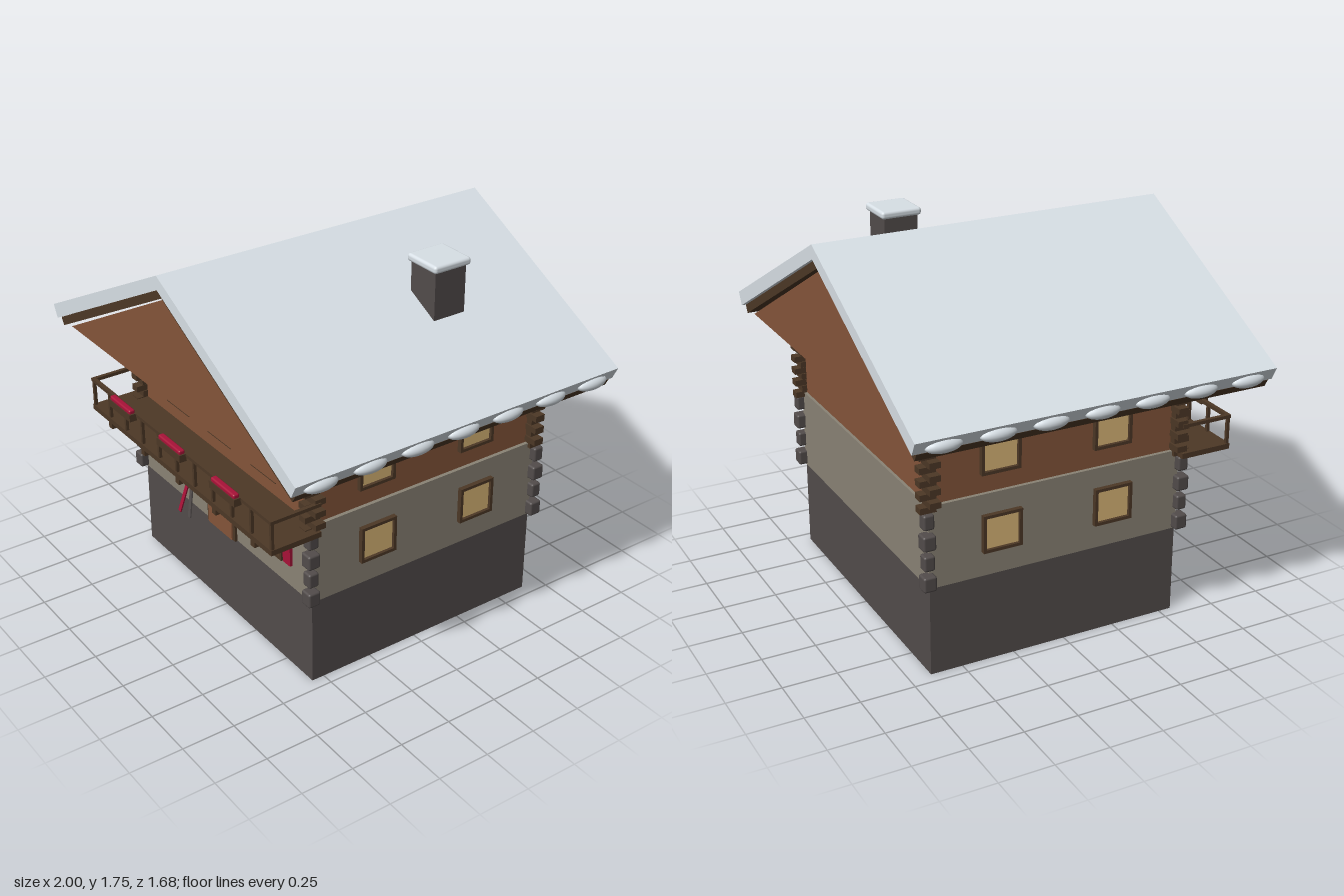
import * as THREE from 'three';
import { RoundedBoxGeometry } from 'three/addons/geometries/RoundedBoxGeometry.js';

const material = (name, color) => {
  const m = new THREE.MeshStandardMaterial({ color });
  m.name = name;
  return m;
};

export function createModel() {
  const model = new THREE.Group();
  model.name = 'chalet';
  const snow = material('snow', 0xd8e0e6);
  const wood = material('wood', 0x85553a);
  const darkWood = material('dark wood', 0x4d3826);
  const plaster = material('plaster', 0x8a8375);
  const stone = material('stone', 0x524c4b);
  const glass = material('lit glass', 0xdcb878);
  const red = material('red paint', 0xa81238);
  const brass = material('brass', 0xd9b06a);

  const add = (name, geometry, mat, x = 0, y = 0, z = 0, parent = model) => {
    const mesh = new THREE.Mesh(geometry, mat);
    mesh.name = name;
    mesh.position.set(x, y, z);
    parent.add(mesh);
    return mesh;
  };
  // Box given by its limits on each axis
  const box = (name, mat, [x0, x1], [y0, y1], [z0, z1], parent = model) =>
    add(name, new THREE.BoxGeometry(x1 - x0, y1 - y0, z1 - z0), mat,
      (x0 + x1) / 2, (y0 + y1) / 2, (z0 + z1) / 2, parent);
  // Outline in x and y, extruded between two z values
  const extrude = (name, mat, points, z0, z1) => {
    const shape = new THREE.Shape(points.map(([x, y]) => new THREE.Vector2(x, y)));
    const geometry = new THREE.ExtrudeGeometry(shape, { depth: z1 - z0, bevelEnabled: false });
    return add(name, geometry, mat, 0, 0, z0);
  };

  // Storeys
  box('foundation', stone, [-0.695, 0.695], [0, 0.415], [-0.65, 0.56]);
  box('groundFloor', plaster, [-0.697, 0.697], [0.415, 0.797], [-0.653, 0.563]);
  box('upperFloor', wood, [-0.68, 0.68], [0.79, 1.15], [-0.64, 0.55]);

  // Gable boards at both ends of the roof
  const gable = [[-0.9, 1.145], [0.9, 1.145], [0, 1.63]];
  extrude('frontGable', wood, gable, 0.78, 0.8);
  extrude('backGable', wood, gable, -0.8, -0.78);

  // Roof deck and the snow lying on it
  extrude('roofDeck', darkWood, [[-0.96, 1.175], [-0.94, 1.14], [0, 1.637], [0.94, 1.14],
    [0.96, 1.175], [0, 1.68]], -0.82, 0.82);
  extrude('roofSnow', snow, [[-0.99, 1.235], [-0.96, 1.176], [0, 1.68], [0.96, 1.176],
    [0.99, 1.235], [0, 1.745]], -0.84, 0.84);
  for (const side of [-1, 1]) {
    for (let i = -3; i <= 3; i++) {
      const clump = add('eaveSnow', new THREE.SphereGeometry(1, 20, 12), snow, side * 0.968, 1.196, i * 0.236);
      clump.scale.set(0.034, 0.031, 0.082);
    }
  }

  // Chimney
  box('chimney', stone, [0.378, 0.54], [1.35, 1.69], [-0.343, -0.18]);
  add('chimneySnow', new RoundedBoxGeometry(0.195, 0.036, 0.195, 2, 0.014), snow, 0.459, 1.704, -0.262);

  // Corner stones below, crossed log ends above
  for (const sx of [-1, 1]) {
    for (const [z, sz] of [[0.56, 1], [-0.65, -1]]) {
      for (let i = 0; i < 4; i++) {
        const size = i % 2 ? 0.05 : 0.06;
        add('cornerStone', new RoundedBoxGeometry(size, 0.07, size, 2, 0.01), stone,
          sx * 0.705, 0.455 + i * 0.095, z + sz * 0.012);
      }
      for (let i = 0; i < 6; i++) {
        const y = 1.12 - i * 0.06;
        add('logEndAcross', new THREE.BoxGeometry(0.08, 0.028, 0.05), darkWood, sx * 0.705, y, z - sz * 0.01);
        add('logEndAlong', new THREE.BoxGeometry(0.045, 0.028, 0.075), darkWood, sx * 0.69, y - 0.03, z + sz * 0.008);
      }
    }
  }

  // Window facing +z in its own frame
  const makeWindow = (x, y, z, { width = 0.19, turn = 0, shutters = false }) => {
    const group = new THREE.Group();
    group.name = 'window';
    group.position.set(x, y, z);
    group.rotation.y = turn;
    model.add(group);
    const w = width / 2, h = 0.087, t = 0.014;
    box('pane', glass, [-w + t, w - t], [-h + t, h - t], [0, 0.008], group);
    for (const s of [-1, 1]) {
      add('frameSide', new THREE.BoxGeometry(t, h * 2, 0.024), darkWood, s * (w - t / 2), 0, 0.01, group);
      add('frameRail', new THREE.BoxGeometry(width, t, 0.024), darkWood, 0, s * (h - t / 2), 0.01, group);
      if (shutters) add('shutter', new THREE.BoxGeometry(0.054, 0.175, 0.015), red, s * 0.124, 0, 0.007, group);
    }
    if (shutters) {
      add('crossPost', new THREE.BoxGeometry(0.012, h * 2, 0.014), darkWood, 0, 0, 0.008, group);
      add('crossBar', new THREE.BoxGeometry(width, 0.012, 0.014), darkWood, 0, 0, 0.008, group);
    }
  };
  for (const x of [-0.405, 0.405]) makeWindow(x, 0.615, 0.563, { shutters: true });
  for (const x of [-0.35, 0, 0.35]) makeWindow(x, 0.97, 0.55, { shutters: true });
  for (const side of [-1, 1]) {
    for (const z of [0.225, -0.315]) {
      const options = { width: 0.185, turn: side * Math.PI / 2 };
      makeWindow(side * 0.697, 0.617, z, options);
      makeWindow(side * 0.68, 0.97, z, options);
    }
  }

  // Door and lamp
  box('doorFrame', darkWood, [-0.115, 0.115], [0.412, 0.738], [0.56, 0.575]);
  box('door', wood, [-0.098, 0.098], [0.415, 0.724], [0.56, 0.582]);
  box('lampArm', darkWood, [0.146, 0.156], [0.695, 0.705], [0.56, 0.6]);
  add('lamp', new THREE.SphereGeometry(0.021, 16, 12), brass, 0.151, 0.7, 0.61);

  // Balcony
  box('balconyFloor', darkWood, [-0.75, 0.75], [0.775, 0.8], [0.55, 0.797]);
  for (let i = -2; i <= 2; i++) {
    box('joist', darkWood, [i * 0.3 - 0.015, i * 0.3 + 0.015], [0.738, 0.775], [0.55, 0.79]);
  }
  box('frontRail', darkWood, [-0.75, 0.75], [0.922, 0.938], [0.778, 0.797]);
  for (const s of [-1, 1]) {
    add('sideRail', new THREE.BoxGeometry(0.018, 0.016, 0.24), darkWood, s * 0.741, 0.93, 0.67);
  }
  for (let i = -5; i <= 5; i++) {
    add('railPost', new THREE.BoxGeometry(0.014, 0.13, 0.014), darkWood, i * 0.148, 0.862, 0.787);
  }
  for (const x of [-0.43, 0, 0.43]) {
    box('flowerBox', darkWood, [x - 0.097, x + 0.097], [0.903, 0.938], [0.793, 0.828]);
    add('flowers', new RoundedBoxGeometry(0.18, 0.024, 0.03, 2, 0.008), red, x, 0.944, 0.81);
  }

  // Pair of crossed skis leaning on the wall
  const ski = (name, mat, foot, tip) => {
    const a = new THREE.Vector3(...foot), b = new THREE.Vector3(...tip);
    const mesh = add(name, new THREE.BoxGeometry(0.02, a.distanceTo(b), 0.007), mat);
    mesh.position.copy(a).lerp(b, 0.5);
    mesh.quaternion.setFromUnitVectors(new THREE.Vector3(0, 1, 0), b.sub(a).normalize());
  };
  ski('redSki', red, [-0.243, 0.418, 0.648], [-0.197, 0.68, 0.59]);
  ski('greySki', stone, [-0.17, 0.418, 0.64], [-0.213, 0.68, 0.582]);

  return model;
}
